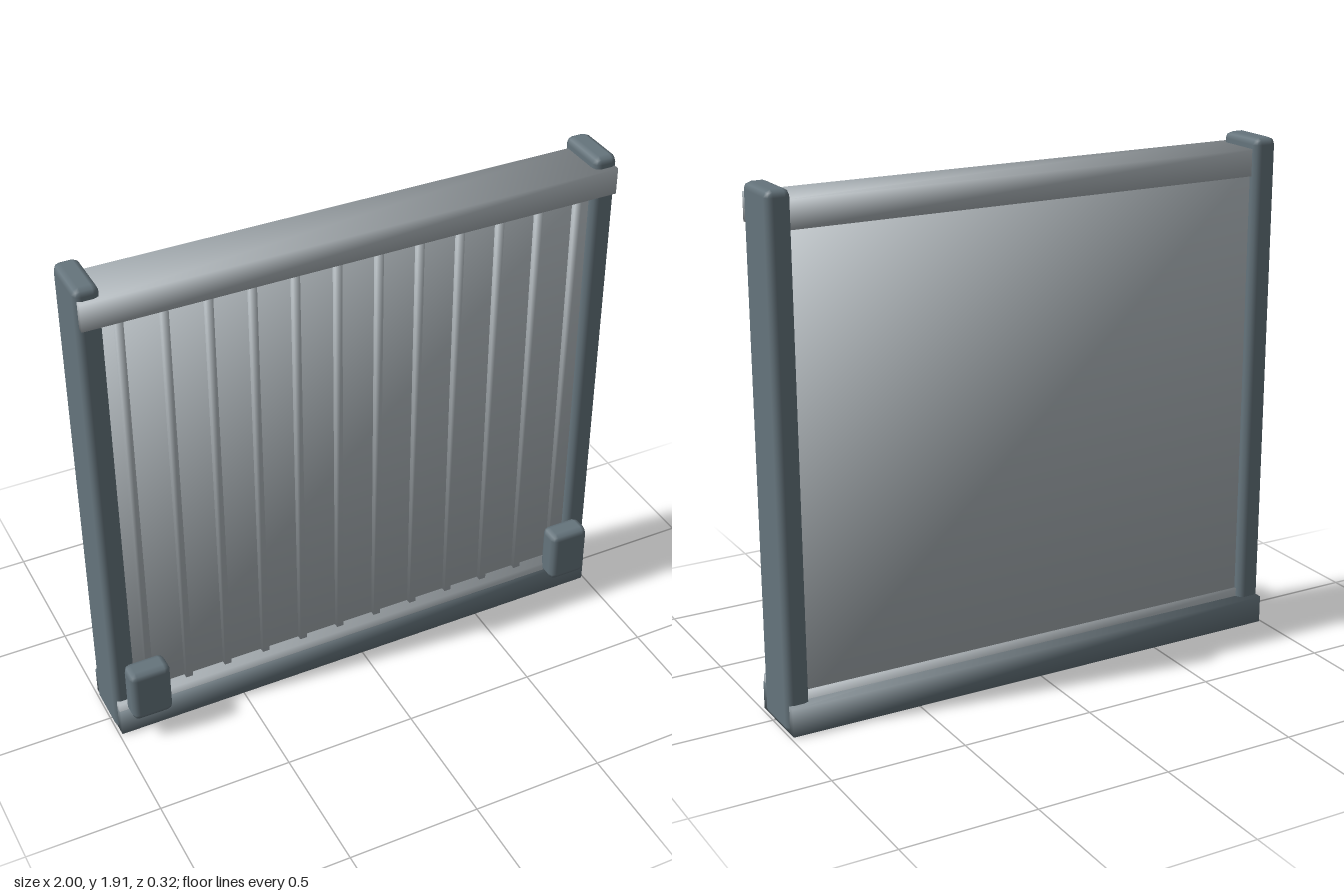
import * as THREE from 'three';
import { RoundedBoxGeometry } from 'three/addons/geometries/RoundedBoxGeometry.js';

export function createModel() {
  const model = new THREE.Group();
  model.name = 'ribbedPanel';
  const frameMat = new THREE.MeshStandardMaterial({ color: 0x65747c });
  frameMat.name = 'blueGreySteel';
  const panelMat = new THREE.MeshStandardMaterial({ color: 0xabb3b8 });
  panelMat.name = 'lightGreyMetal';

  const place = (name, geometry, material, lo, hi) => {
    const mesh = new THREE.Mesh(geometry, material);
    mesh.name = name;
    mesh.position.set(...lo.map((v, i) => (v + hi[i]) / 2));
    model.add(mesh);
  };

  // Box between two corners, with normals blended across its corners
  const smoothBox = (name, material, lo, hi) => {
    const g = new THREE.BoxGeometry(...lo.map((v, i) => hi[i] - v));
    const p = g.attributes.position;
    const n = new THREE.Vector3();
    for (let i = 0; i < p.count; i++) {
      n.set(Math.sign(p.getX(i)), Math.sign(p.getY(i)), Math.sign(p.getZ(i))).normalize();
      g.attributes.normal.setXYZ(i, n.x, n.y, n.z);
    }
    place(name, g, material, lo, hi);
  };

  // Box between two corners, with softened edges
  const bevelBox = (name, material, lo, hi, radius) => {
    const size = lo.map((v, i) => hi[i] - v);
    place(name, new RoundedBoxGeometry(...size, 1, radius), material, lo, hi);
  };

  // Sheet and horizontal rails
  smoothBox('panel', panelMat, [-0.93, 0.08, -0.1], [0.93, 1.82, 0.045]);
  smoothBox('topRail', panelMat, [-0.99, 1.77, -0.11], [0.99, 1.87, 0.092]);
  smoothBox('bottomRail', panelMat, [-0.99, 0.04, -0.11], [0.99, 0.14, 0.092]);
  smoothBox('baseBeam', frameMat, [-0.99, 0.002, -0.162], [0.99, 0.108, 0.1]);

  // Vertical ribs on the front of the sheet
  for (let i = 0; i < 12; i++) {
    const x = (i - 5.5) * 0.1555;
    smoothBox('rib', panelMat, [x - 0.0135, 0.1, 0.03], [x + 0.0135, 1.8, 0.064]);
  }

  // End posts and front corner blocks, mirrored
  for (const s of [-1, 1]) {
    const x = s * 0.955;
    bevelBox('post', frameMat, [x - 0.045, 0, -0.136], [x + 0.045, 1.91, 0.074], 0.025);
    const b = s * 0.88;
    bevelBox('cornerBlock', frameMat, [b - 0.078, 0.1, 0.07], [b + 0.078, 0.317, 0.162], 0.025);
  }
  return model;
}
